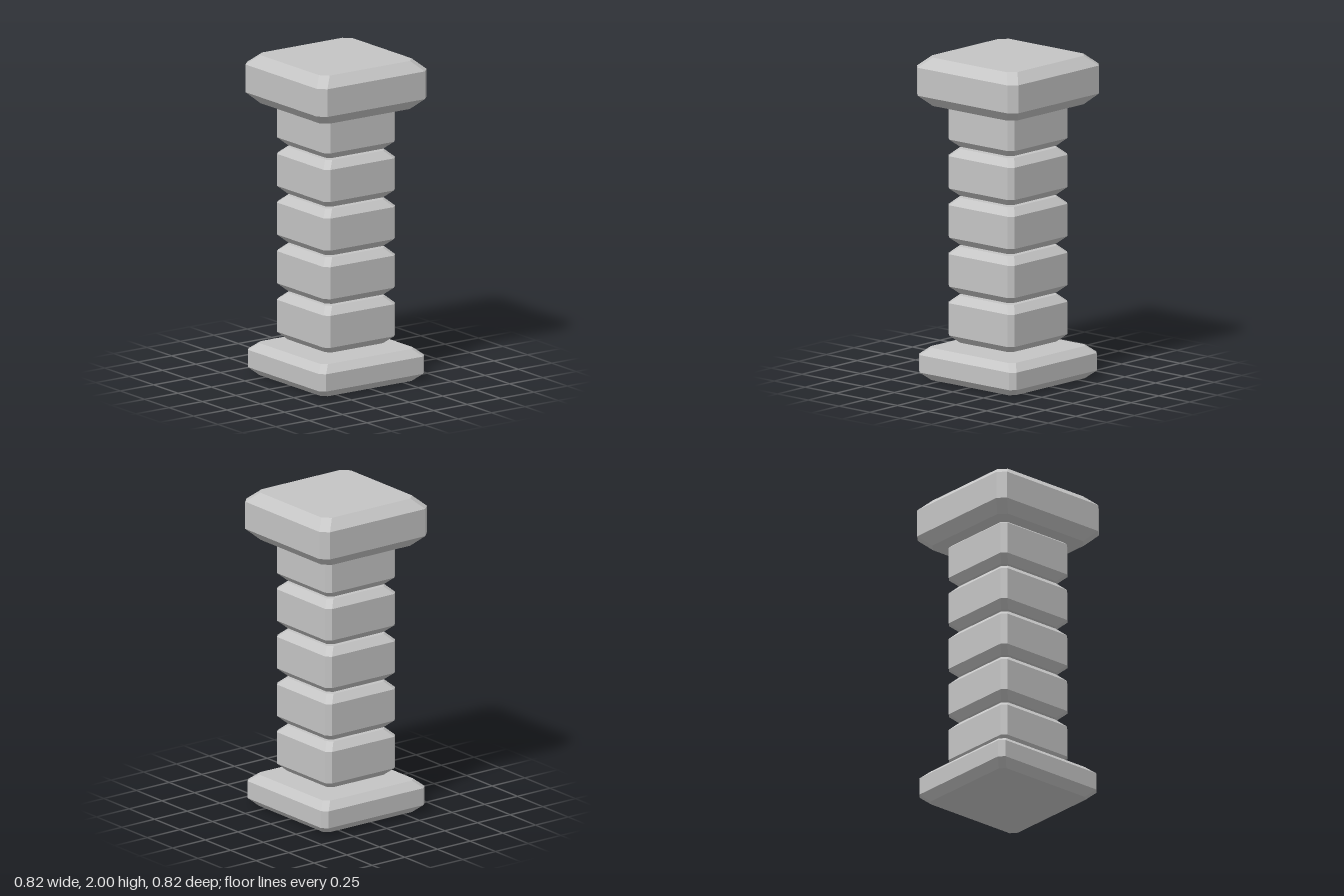
import * as THREE from 'three';
import { ConvexGeometry } from 'three/addons/geometries/ConvexGeometry.js';

// Square block with cut vertical corners and bevelled top and bottom edges
function block(half, bottom, top, inset, lowBevel, highBevel, corner) {
  const rings = [
    [bottom, half - inset],
    [bottom + lowBevel, half],
    [top - highBevel, half],
    [top, half - inset],
  ];
  const points = [];
  for (const [y, r] of rings) {
    for (const sx of [-1, 1]) {
      for (const sz of [-1, 1]) {
        points.push(new THREE.Vector3(sx * r, y, sz * (r - corner)));
        points.push(new THREE.Vector3(sx * (r - corner), y, sz * r));
      }
    }
  }
  return new ConvexGeometry(points);
}

export function createModel() {
  const model = new THREE.Group();
  model.name = 'pillar';
  const stone = new THREE.MeshStandardMaterial({ color: 0xc4c4c4 });
  stone.name = 'grey stone';

  const add = (name, geometry) => {
    const mesh = new THREE.Mesh(geometry, stone);
    mesh.name = name;
    model.add(mesh);
  };

  // Base slab
  add('base', block(0.395, 0, 0.2, 0.05, 0.047, 0.045, 0.032));

  // Five separate shaft blocks; the highest runs into the cap
  for (let i = 0; i < 5; i++) {
    const y = 0.229 + i * 0.3035;
    add(`shaftBlock${i + 1}`, block(0.268, y, y + 0.291, 0.047, 0.045, 0.046, 0.03));
  }

  // Cap slab
  add('cap', block(0.411, 1.7, 2, 0.065, 0.065, 0.062, 0.046));
  return model;
}
